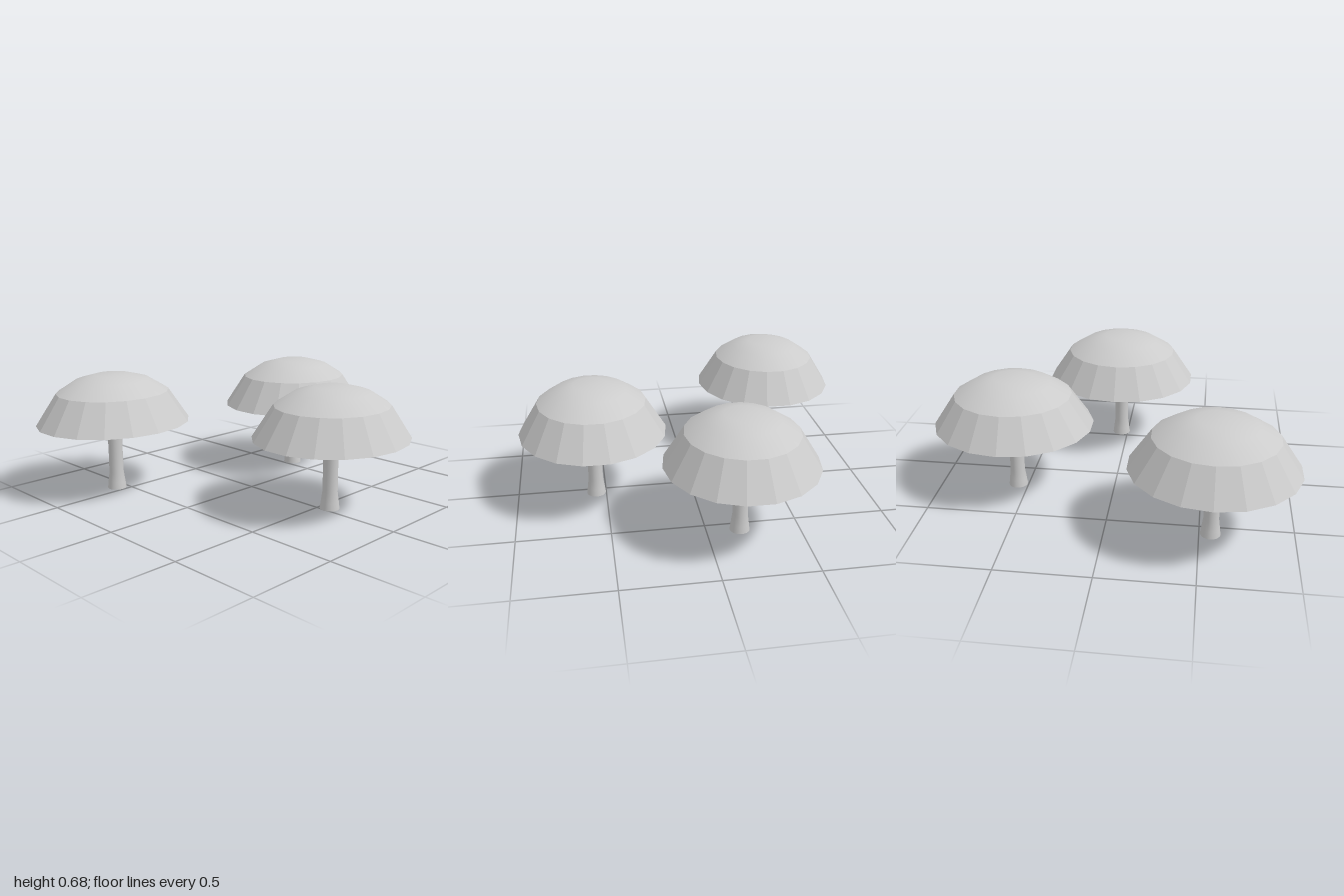
import * as THREE from 'three';

const SIDES = 18;
const DEPTH = 1.085; // caps are slightly longer in z than in x

// Revolve [radius, height] points listed from bottom to top
function lathe(points, sides) {
  const profile = points.map(([r, y]) => new THREE.Vector2(r, y));
  return new THREE.LatheGeometry(profile, sides, Math.PI / 2);
}

export function createModel() {
  const model = new THREE.Group();
  model.name = 'mushrooms';
  const material = new THREE.MeshStandardMaterial({ color: 0xcccccc });
  const flatMaterial = new THREE.MeshStandardMaterial({ color: 0xcccccc, flatShading: true });

  // Shallow hollow underside and faceted skirt of the cap
  const skirt = lathe([[0, 0.455], [0.41, 0.4], [0.3, 0.577]], SIDES)
    .scale(1, 1, DEPTH).toNonIndexed();
  skirt.computeVertexNormals();

  // Smooth crown of the cap
  const crown = lathe([[0.3, 0.577], [0.198, 0.645], [0.097, 0.674], [0, 0.675]], SIDES)
    .scale(1, 1, DEPTH);

  // Slim stem, flared at the foot and where it meets the cap
  const stem = lathe([
    [0.054, 0], [0.049, 0.04], [0.0415, 0.095], [0.0405, 0.22],
    [0.0415, 0.35], [0.046, 0.375], [0.056, 0.405], [0.078, 0.447],
  ], SIDES);
  const foot = new THREE.CircleGeometry(0.054, SIDES).rotateX(Math.PI / 2);

  const parts = [
    ['capSkirt', skirt, flatMaterial],
    ['capCrown', crown, material],
    ['stem', stem, material],
    ['stemFoot', foot, material],
  ];

  // Three identical mushrooms
  const spots = { rightMushroom: [-0.56, 0.56], backMushroom: [-0.18, -0.56], leftMushroom: [0.556, -0.04] };
  for (const [name, [x, z]] of Object.entries(spots)) {
    const mushroom = new THREE.Group();
    mushroom.name = name;
    for (const [partName, geometry, mat] of parts) {
      const mesh = new THREE.Mesh(geometry, mat);
      mesh.name = partName;
      mushroom.add(mesh);
    }
    mushroom.position.set(x, 0, z);
    model.add(mushroom);
  }
  return model;
}
